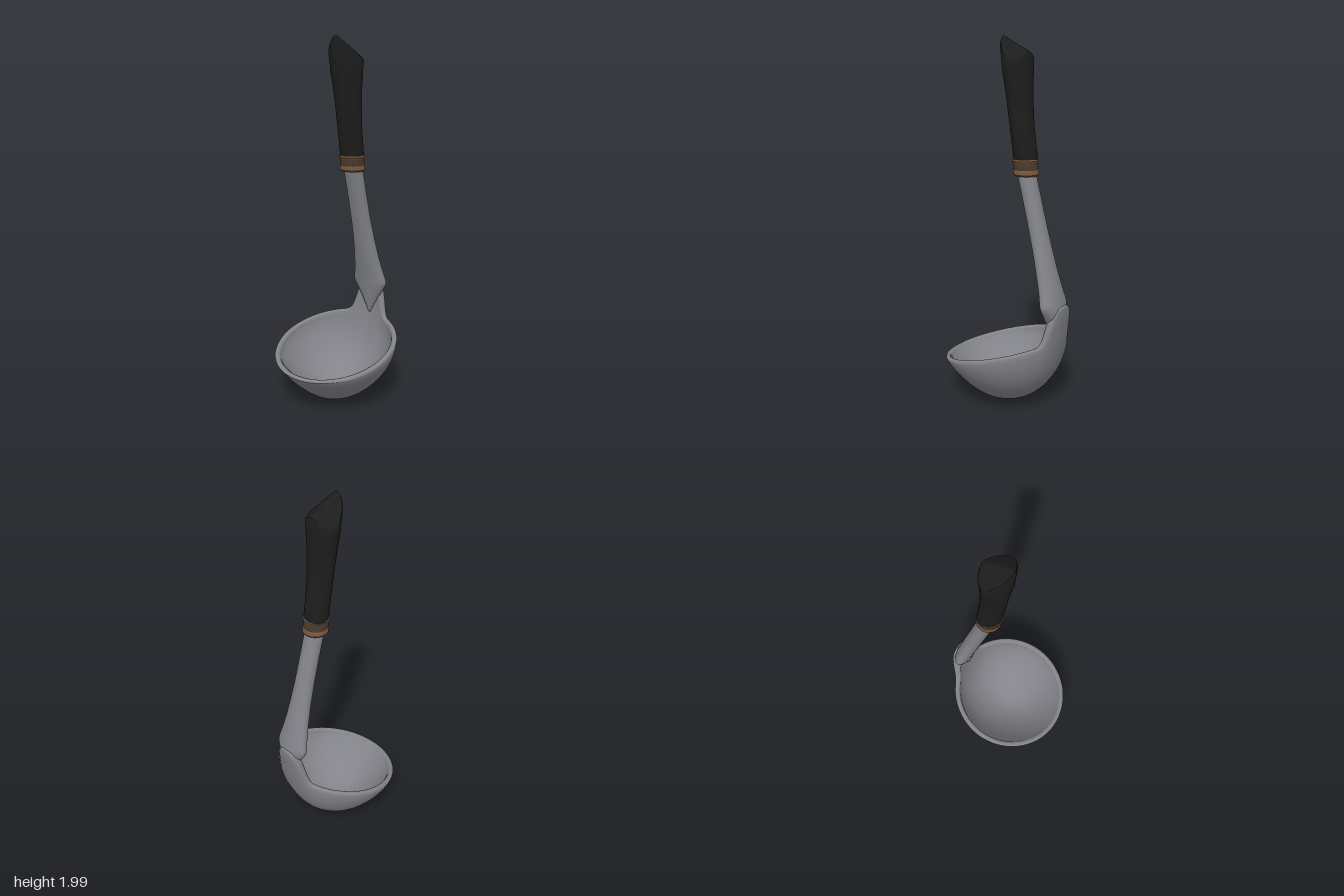
import * as THREE from 'three';
import { toCreasedNormals } from 'three/addons/utils/BufferGeometryUtils.js';

const mat = (name, color, side = THREE.FrontSide) => {
  const m = new THREE.MeshStandardMaterial({ color, side });
  m.name = name;
  return m;
};

// Skin a stack of closed rings (arrays of [x, y, z], listed from the bottom up)
function loft(rings, crease) {
  const n = rings[0].length, index = [];
  for (let i = 0; i < rings.length - 1; i++) {
    for (let j = 0; j < n; j++) {
      const a = i * n + j, b = i * n + (j + 1) % n;
      index.push(a, a + n, b, b, a + n, b + n);
    }
  }
  const g = new THREE.BufferGeometry();
  g.setAttribute('position', new THREE.Float32BufferAttribute(rings.flat(2), 3));
  g.setIndex(index);
  if (crease) return toCreasedNormals(g, crease);
  g.computeVertexNormals();
  return g;
}

const circle = (n, f) => Array.from({ length: n }, (_, j) => {
  const a = j / n * Math.PI * 2;
  return f(Math.cos(a), Math.sin(a));
});

// Oval ring: height, centre x and z, half width, front depth, back depth
const oval = (y, cx, cz, hw, front, back = front, n = 40) =>
  circle(n, (c, s) => [cx + hw * c, y, cz + (s > 0 ? front : back) * s]);

// Bowl with a tilted rim that sweeps up into the neck at the back
function bowlGeometry() {
  const rings = [], N = 160, T = 28;
  const ring = (t, inset, lift) => circle(N, (c, s) => {
    const back = Math.max(0, -s);
    const bump = s < 0 ? Math.exp(-Math.pow(0.33 * c / 0.1, 4)) : 0;
    const high = Math.pow(t, 7);
    const R = 0.343 + (s > 0 ? 0.016 * s : -0.018 * back) + 0.034 * bump * high;
    const r = Math.max(0.002, Math.sin(t * Math.PI / 2));
    const w = 0.48 + 0.5 * s;
    const h = (1 - w) * (1 - Math.cos(t * Math.PI / 2)) + w * Math.pow(r, 1.8);
    const rad = r * (R - inset * (1 + 0.7 * bump * high));
    const rim = 0.322 - 0.25 * R * s;
    const y = 0.005 + lift + h * (rim - 0.005 - lift) + 0.19 * bump * high;
    return [rad * c, y, rad * s + 0.03 * (1 - r)];
  });
  for (let i = 0; i <= T; i++) rings.push(ring(i / T, 0, 0));
  for (const [inset, dy] of [[0.004, 0.008], [0.015, 0.013], [0.026, 0.008]]) {
    rings.push(ring(1, inset, 0).map(([x, y, z]) => [x, y + dy, z]));
  }
  for (let i = T; i >= 0; i--) rings.push(ring(i / T, 0.031, 0.03));
  return loft(rings);
}

// Stem flaring into two spurs, then narrowing to a pointed tongue
function stemGeometry() {
  const rows = [ // y, centre z, half width, front depth, back depth
    [0.42, -0.29, 0.003, 0.005, 0.01],
    [0.46, -0.292, 0.024, 0.016, 0.035],
    [0.51, -0.295, 0.05, 0.028, 0.055],
    [0.56, -0.295, 0.08, 0.038, 0.058],
    [0.6, -0.294, 0.104, 0.045, 0.054],
    [0.62, -0.292, 0.109, 0.047, 0.052],
    [0.64, -0.288, 0.104, 0.047, 0.052],
    [0.7, -0.273, 0.09, 0.047, 0.052],
    [0.78, -0.252, 0.077, 0.047, 0.051],
    [0.88, -0.227, 0.066, 0.046, 0.05],
    [1.0, -0.196, 0.058, 0.046, 0.049],
    [1.15, -0.158, 0.055, 0.046, 0.048],
    [1.31, -0.117, 0.055, 0.046, 0.048],
  ];
  const rings = rows.map(([y, z, w, f, b]) => oval(y, 0.013, z, w, f, b, 48));
  return loft(rings, 0.75);
}

// Grip widening upward, ended by a slanted gable top
function gripGeometry() {
  const rows = [ // y, centre z, half width, half depth
    [1.35, -0.113, 0.062, 0.06],
    [1.37, -0.11, 0.068, 0.065],
    [1.44, -0.1, 0.069, 0.064],
    [1.54, -0.086, 0.071, 0.064],
    [1.64, -0.075, 0.076, 0.067],
    [1.74, -0.066, 0.084, 0.072],
    [1.82, -0.058, 0.094, 0.078],
  ];
  const ring = (z, w, d, fy) => circle(48, (c, s) => {
    const x = w * c * (1 - 0.2 * Math.max(0, s)), zz = z + d * s;
    return [0.01 + x, fy(x, zz), zz];
  });
  const rings = rows.map(([y, z, w, d]) => ring(z, w, d, () => y));
  const roof = (x, z) => 2.003 - 0.52 * (0.03 - z) - 0.75 * (Math.hypot(x, 0.012) - 0.008);
  for (const k of [1, 0.96, 0.85, 0.6, 0.3, 0.002]) {
    const drop = k === 1 ? 0.008 : 0;
    rings.push(ring(-0.053, 0.101 * k, 0.084 * k, (x, z) => roof(x, z) - drop));
  }
  return loft(rings, 0.6);
}

// Horizontal collar bands following the lean of the stem
const bandGeometry = (rows) => loft(rows.map(([y, r]) =>
  oval(y, 0.012, -0.117 + (y - 1.3) * 0.12, r, r * 0.97)), 0.6);

export function createModel() {
  const steel = mat('brushed steel', 0x83848a, THREE.DoubleSide);
  const black = mat('black grip', 0x1d1d1d);
  const bronze = mat('bronze', 0x75553a);
  const brown = mat('dark brown', 0x4c3b2e);
  const group = new THREE.Group();
  group.name = 'ladle';
  const add = (name, geometry, material) => {
    const m = new THREE.Mesh(geometry, material);
    m.name = name;
    group.add(m);
  };
  add('bowl', bowlGeometry(), steel);
  add('stem', stemGeometry(), steel);
  add('lowerCollar', bandGeometry([
    [1.288, 0.04], [1.288, 0.062], [1.296, 0.069], [1.312, 0.069], [1.322, 0.064], [1.322, 0.04],
  ]), bronze);
  add('collarBand', bandGeometry([
    [1.318, 0.04], [1.318, 0.065], [1.33, 0.067], [1.365, 0.067], [1.365, 0.04],
  ]), brown);
  add('upperCollar', bandGeometry([
    [1.36, 0.04], [1.36, 0.068], [1.367, 0.071], [1.375, 0.068], [1.375, 0.04],
  ]), bronze);
  add('grip', gripGeometry(), black);
  return group;
}
